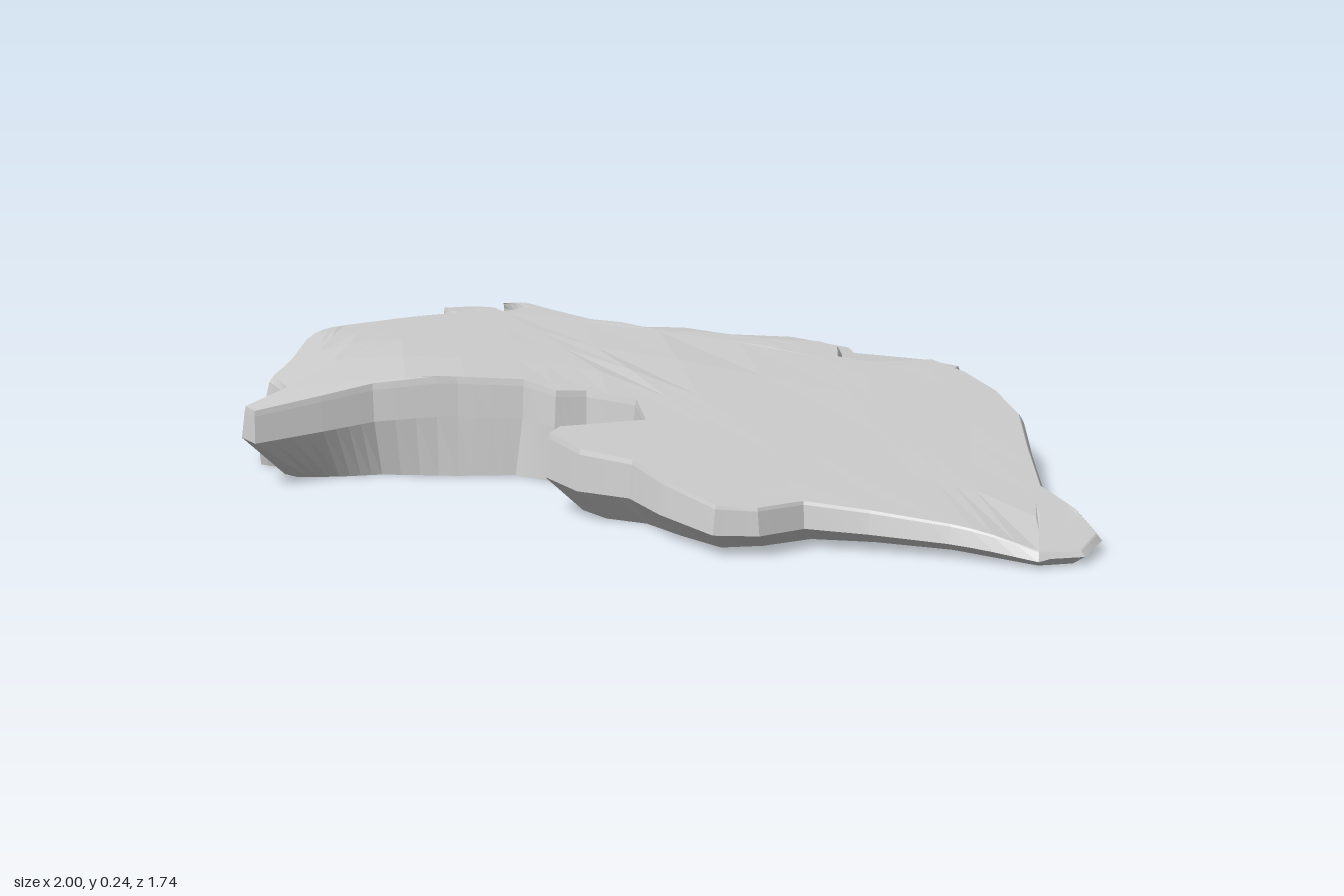
import * as THREE from 'three';

const SPLIT = 2; // each outline edge and cap triangle is halved this many times
const mat = new THREE.MeshStandardMaterial({ color: 0xcccccc, flatShading: true, side: THREE.DoubleSide });

// Outlines are [x, z], clockwise seen from above.
const mainRim = [
  [0.04, -0.6], [0.15, -0.61], [0.28, -0.58], [0.42, -0.51], [0.57, -0.38], [0.75, -0.23], [0.87, -0.2],
  [0.96, -0.16], [1, -0.07], [0.97, 0.02], [0.82, 0.1], [0.7, 0.19], [0.61, 0.27], [0.6, 0.37],
  [0.55, 0.44], [0.4, 0.45], [0.29, 0.44], [0.2, 0.5], [0.09, 0.5], [0.06, 0.45], [0.1, 0.27],
  [0, 0.22], [-0.08, 0.28], [-0.11, 0.34], [-0.2, 0.36], [-0.28, 0.47], [-0.37, 0.62], [-0.39, 0.73],
  [-0.42, 0.87], [-0.48, 0.87], [-0.51, 0.76], [-0.61, 0.77], [-0.75, 0.68], [-0.86, 0.58], [-0.9, 0.45],
  [-0.9, 0.3], [-0.87, 0.19], [-1, 0.07], [-0.93, 0.03], [-0.75, 0.04], [-0.76, -0.02], [-0.9, -0.05],
  [-0.72, -0.07], [-0.54, -0.1], [-0.4, -0.19], [-0.34, -0.27], [-0.19, -0.38], [-0.07, -0.37], [0, -0.46],
];
// Foot of the main slab, [x, z, y]: a thin overhanging lip at the back right, flared at the front left.
const mainFoot = [
  [0.03, -0.59, 0.11], [0.15, -0.59, 0.11], [0.27, -0.56, 0.09], [0.4, -0.49, 0.07], [0.55, -0.36, 0.04],
  [0.73, -0.21, 0.015], [0.85, -0.18, 0.01],
  [0.94, -0.14], [0.98, -0.06], [0.95, 0], [0.78, 0.05], [0.65, 0.13], [0.56, 0.21], [0.54, 0.31],
  [0.5, 0.38], [0.39, 0.39], [0.28, 0.39], [0.2, 0.43], [0.12, 0.43], [0.08, 0.41], [0.07, 0.37],
  [0.01, 0.32], [-0.06, 0.31], [-0.11, 0.35], [-0.2, 0.38], [-0.27, 0.48], [-0.38, 0.6], [-0.42, 0.68],
  [-0.47, 0.75], [-0.51, 0.76], [-0.54, 0.73], [-0.62, 0.76], [-0.75, 0.68], [-0.86, 0.58], [-0.9, 0.45],
  [-0.9, 0.3], [-0.87, 0.19], [-0.97, 0.06], [-0.91, 0.03],
];
// Terrace rims: the stepped edge first, then back underneath the layer above.
const midRim = [
  [-0.89, -0.07], [-0.82, -0.2], [-0.7, -0.27], [-0.5, -0.3], [-0.4, -0.4], [-0.27, -0.53], [-0.19, -0.53],
  [-0.11, -0.46], [0.02, -0.48], [0.03, -0.42], [-0.07, -0.34], [-0.19, -0.34], [-0.32, -0.24], [-0.38, -0.16],
  [-0.53, -0.07], [-0.72, -0.04], [-0.88, -0.03],
];
const lowRim = [
  [-0.93, -0.24], [-0.9, -0.34], [-0.8, -0.37], [-0.76, -0.5], [-0.65, -0.56], [-0.58, -0.71], [-0.41, -0.76],
  [-0.35, -0.72], [-0.24, -0.84], [-0.13, -0.87], [-0.05, -0.75], [0.04, -0.6], [0.04, -0.44], [-0.11, -0.42],
  [-0.19, -0.49], [-0.26, -0.49], [-0.38, -0.36], [-0.49, -0.26], [-0.69, -0.23], [-0.78, -0.17], [-0.84, -0.03],
  [-0.89, -0.04],
];
const ledgeRim = [
  [-0.95, 0.05], [-0.92, -0.06], [-0.99, -0.21], [-0.97, -0.35], [-0.94, -0.48], [-0.88, -0.57], [-0.73, -0.55],
  [-0.6, -0.66], [-0.58, -0.54], [-0.72, -0.46], [-0.76, -0.33], [-0.84, -0.3], [-0.86, -0.2], [-0.82, -0.05],
  [-0.72, -0.05], [-0.72, 0.06],
];

// Sloping top of the main slab: piecewise in x, dipping toward the front.
const slope = [[-1, 0.215], [-0.8, 0.243], [-0.5, 0.226], [-0.2, 0.202], [0.1, 0.162], [0.6, 0.092], [0.87, 0.057], [1, 0.022]];
function mainHeight(x, z) {
  let i = 0;
  while (i < slope.length - 2 && x > slope[i + 1][0]) i++;
  const [x0, y0] = slope[i], [x1, y1] = slope[i + 1];
  return y0 + ((y1 - y0) * (x - x0)) / (x1 - x0) - 0.15 * Math.max(0, z - 0.5);
}
const midHeight = (x) => 0.165 - 0.03 * x;
const lowHeight = (x, z) => 0.085 + 0.08 * (z + 0.87) - 0.03 * x;
const ledgeHeight = (x, z) => 0.1 + 0.13 * (z + 0.5);

const mid = (a, b) => a.map((v, k) => (v + b[k]) / 2);

// Move every outline point inward by amount(x, z, index).
function inset(ring, amount) {
  return ring.map(([x, z], i) => {
    const p = ring[(i + ring.length - 1) % ring.length], n = ring[(i + 1) % ring.length];
    const dx = n[0] - p[0], dz = n[1] - p[1], l = Math.hypot(dx, dz) || 1, d = amount(x, z, i);
    return [x - (dz / l) * d, z + (dx / l) * d];
  });
}

function densify(ring) {
  for (let s = 0; s < SPLIT; s++) ring = ring.flatMap((p, i) => [p, mid(p, ring[(i + 1) % ring.length])]);
  return ring;
}

// An open-bottomed rock layer: top following height(x, z), then chamfer, rim and
// foot ([x, z, y]) around the first wallEdges edges of the outline.
function slab(name, rim, foot, height, topInset, rimLevel, wallEdges) {
  const pos = [];
  const top = inset(rim, topInset);
  const lip = rim.map((p, i) => mid(mid(top[i], p), top[i]));

  // Top surface
  const emit = (a, b, c, n) => {
    if (n > 0) {
      const ab = mid(a, b), bc = mid(b, c), ca = mid(c, a);
      [[a, ab, ca], [ab, b, bc], [ca, bc, c], [ab, bc, ca]].forEach((t) => emit(...t, n - 1));
      return;
    }
    const ny = (b[1] - a[1]) * (c[0] - a[0]) - (b[0] - a[0]) * (c[1] - a[1]);
    (ny > 0 ? [a, b, c] : [a, c, b]).forEach(([x, z]) => pos.push(x, height(x, z), z));
  };
  THREE.ShapeUtils.triangulateShape(top.map(([x, z]) => new THREE.Vector2(x, z)), [])
    .forEach(([a, b, c]) => emit(top[a], top[b], top[c], SPLIT));

  // Side walls between successive rings
  const topFine = densify(top), footFine = densify(foot);
  const level = (ring, f) => densify(ring).map(([x, z], i) => {
    const y0 = footFine[i][2];
    return [x, y0 + f(x, z) * (height(...topFine[i]) - y0), z];
  });
  const rings = [level(top, () => 1), level(lip, () => 0.93), level(rim, rimLevel), level(foot, () => 0)];
  for (let r = 0; r < 3; r++) {
    const a = rings[r], b = rings[r + 1];
    for (let i = 0; i < wallEdges * 2 ** SPLIT; i++) {
      const j = (i + 1) % a.length;
      pos.push(...a[i], ...a[j], ...b[i], ...a[j], ...b[j], ...b[i]);
    }
  }
  const geo = new THREE.BufferGeometry();
  geo.setAttribute('position', new THREE.Float32BufferAttribute(pos, 3));
  geo.computeVertexNormals();
  const mesh = new THREE.Mesh(geo, mat);
  mesh.name = name;
  return mesh;
}

export function createModel() {
  const group = new THREE.Group();
  group.name = 'rockSlab';

  // Main slab, with a sloping shoulder at the front left and a step down to the terraces
  const shoulder = (x, z) => x < -0.55 && z > 0.15;
  const foot = mainRim.map(([x, z], i) => {
    const [fx, fz, fy = 0] = mainFoot[i] || [x, z, midHeight(x)];
    return [fx, fz, fy];
  });
  group.add(slab('mainSlab', mainRim, foot, mainHeight,
    (x, z) => (shoulder(x, z) ? (x < -0.7 ? 0.09 : 0.04) : 0.012),
    (x, z) => (shoulder(x, z) ? 0.35 : x > 0.05 && z > 0 ? 0.45 : 0.6), mainRim.length));

  // Stepped layers descending toward the back
  const steps = [
    ['middleTerrace', midRim, midHeight, 8, (x, z) => lowHeight(x, z)],
    ['lowerTerrace', lowRim, lowHeight, 11, (x, z, i) => (i < 4 ? ledgeHeight(x, z) : 0)],
    ['sideLedge', ledgeRim, ledgeHeight, 7, () => 0],
  ];
  for (const [name, rim, height, wallEdges, footY] of steps) {
    const base = inset(rim, () => 0.015).map(([x, z], i) => [x, z, footY(x, z, i)]);
    group.add(slab(name, rim, base, height, (x, z, i) => (i < wallEdges ? 0.012 : 0), () => 0.6, wallEdges));
  }
  return group;
}
